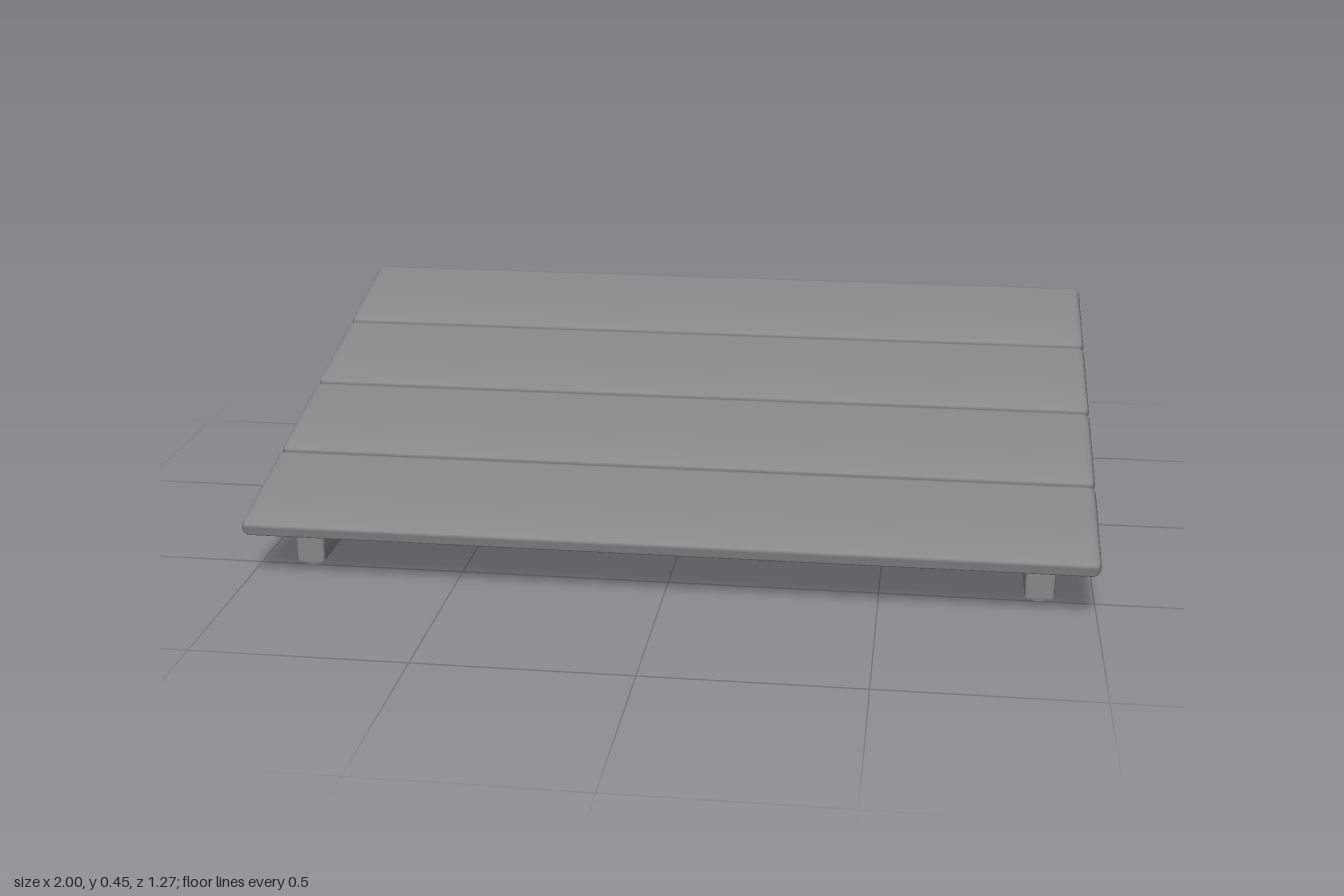
import * as THREE from 'three';
import { RoundedBoxGeometry } from 'three/addons/geometries/RoundedBoxGeometry.js';
import { toCreasedNormals } from 'three/addons/utils/BufferGeometryUtils.js';

const TILT = Math.atan(0.238); // slope of the slatted top
const MID_Y = 0.287; // height of the slat centre line at z = 0
const THICK = 0.042;
const FOOT_H = 0.013;
const SMOOTH = 0.9; // soft shading that runs from the rounded edges into the faces

export function createModel() {
  const model = new THREE.Group();
  model.name = 'slopedPlatform';
  const material = new THREE.MeshStandardMaterial({ color: 0x888888 });
  const add = (name, geometry, x, y, z) => {
    const mesh = new THREE.Mesh(geometry, material);
    mesh.name = name;
    mesh.position.set(x, y, z);
    model.add(mesh);
    return mesh;
  };

  // Four rounded slats running across the slope
  const slat = toCreasedNormals(new RoundedBoxGeometry(2, THICK, 0.325, 2, 0.0205), SMOOTH);
  for (let i = 0; i < 4; i++) {
    const z = (1.5 - i) * 0.318;
    add(`slat${i + 1}`, slat, 0, MID_Y - z * Math.tan(TILT), z).rotation.x = TILT;
  }

  // Wedge-shaped side supports, profile drawn as (z, y) and reaching the slat undersides
  const under = (z) => MID_Y - THICK / 2 / Math.cos(TILT) - z * Math.tan(TILT) + 0.003;
  const front = 0.515, back = -0.487, bevel = 0.008, width = 0.07;
  const profile = new THREE.Shape([
    new THREE.Vector2(back, FOOT_H),
    new THREE.Vector2(front, FOOT_H),
    new THREE.Vector2(front, under(front)),
    new THREE.Vector2(back, under(back)),
  ]);
  let support = new THREE.ExtrudeGeometry(profile, {
    depth: width - 2 * bevel, bevelSize: bevel, bevelThickness: bevel,
    bevelOffset: -bevel, bevelSegments: 2,
  });
  support.translate(0, 0, bevel - width / 2).rotateY(-Math.PI / 2);
  support = toCreasedNormals(support, SMOOTH);

  // Small round feet below each support
  const footH = FOOT_H + 0.004;
  const foot = new THREE.CylinderGeometry(0.024, 0.022, footH, 24);
  for (const [side, x] of [['left', 0.872], ['right', -0.872]]) {
    add(`${side}Support`, support, x, 0, 0);
    add(`${side}FrontFoot`, foot, x, footH / 2, 0.48);
    add(`${side}BackFoot`, foot, x, footH / 2, -0.452);
  }

  return model;
}
